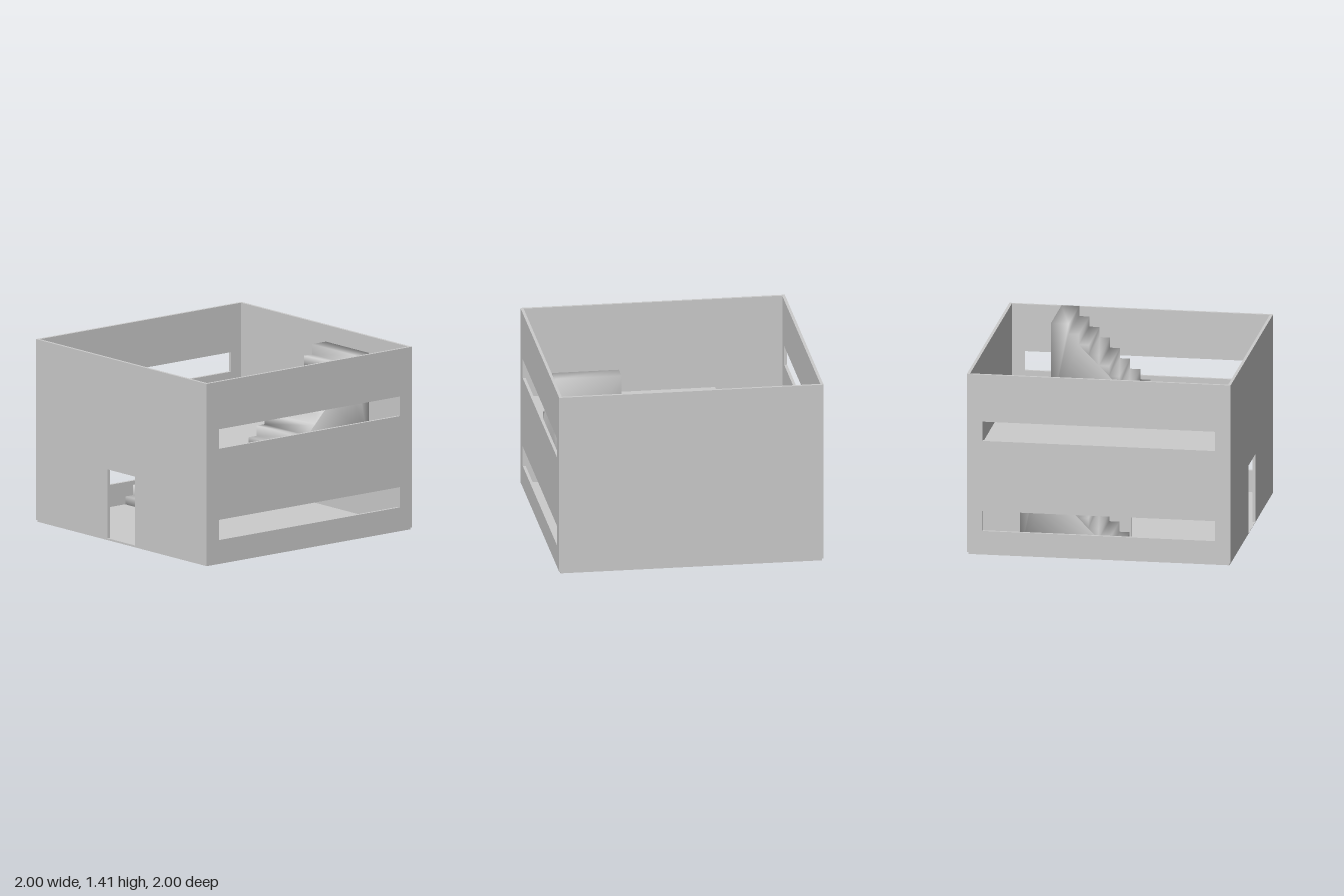
import * as THREE from 'three';
import { mergeVertices } from 'three/addons/utils/BufferGeometryUtils.js';

const BASE = 0.02, TOP = 1.405, MID = 0.705, WALL = 0.022;

// Rectangle outline, counter-clockwise
function rect(Type, x0, y0, x1, y1) {
  const path = new Type();
  path.moveTo(x0, y0);
  path.lineTo(x1, y0);
  path.lineTo(x1, y1);
  path.lineTo(x0, y1);
  path.closePath();
  return path;
}

// Flat panel with rectangular openings, thickness along +z
function panel(outline, openings, depth) {
  const shape = rect(THREE.Shape, ...outline);
  for (const o of openings) shape.holes.push(rect(THREE.Path, ...o));
  return new THREE.ExtrudeGeometry(shape, { depth, bevelEnabled: false });
}

// Solid flight of nine steps rising toward +x, softly shaded
function flight() {
  const rise = MID / 9, run = 0.077;
  const shape = new THREE.Shape();
  shape.moveTo(0.6, 0);
  shape.lineTo(0.6, MID);
  for (let i = 8; i >= 0; i--) {
    const x = -0.15 + i * run;
    shape.lineTo(x, (i + 1) * rise);
    shape.lineTo(x, i * rise);
  }
  shape.closePath();
  const geo = new THREE.ExtrudeGeometry(shape, { depth: 0.505, bevelEnabled: false });
  geo.deleteAttribute('normal');
  geo.deleteAttribute('uv');
  const smooth = mergeVertices(geo, 1e-4);
  smooth.computeVertexNormals();
  return smooth;
}

export function createModel() {
  const model = new THREE.Group();
  model.name = 'twoStoreyBuilding';
  const plaster = new THREE.MeshStandardMaterial({ color: 0xcccccc });
  plaster.name = 'light grey plaster';

  const add = (name, geo, x = 0, y = 0, z = 0) => {
    const mesh = new THREE.Mesh(geo, plaster);
    mesh.name = name;
    mesh.position.set(x, y, z);
    model.add(mesh);
    return mesh;
  };

  // Ground slab, slightly inset under the walls
  add('groundFloor', new THREE.BoxGeometry(1.98, BASE - 0.004, 1.98), 0, BASE / 2 + 0.002, 0);

  // Front and back walls with two long window slots each
  const slots = [[-0.88, 0.19, 0.88, 0.345], [-0.88, 0.89, 0.88, 1.04]];
  const slotted = panel([-1, BASE, 1, TOP], slots, WALL);
  add('frontWall', slotted, 0, 0, 1 - WALL);
  add('backWall', slotted, 0, 0, -1);

  // Side walls; the one at -x has the doorway
  const half = 1 - WALL;
  const solid = panel([-half, BASE, half, TOP], [], WALL);
  const doored = panel([-half, BASE, half, TOP], [[-0.16, BASE + 0.002, 0.16, 0.55]], WALL);
  add('leftWall', solid, 1 - WALL).rotation.y = Math.PI / 2;
  add('doorWall', doored, -1).rotation.y = Math.PI / 2;

  // Upper floor with a stairwell along the back
  const well = -0.47;
  const thick = 0.02;
  add('upperFloor', new THREE.BoxGeometry(2 * half, thick, half - well),
    0, MID - thick / 2, (half + well) / 2);
  add('stairLanding', new THREE.BoxGeometry(half - 0.6, thick, half + well),
    (half + 0.6) / 2, MID - thick / 2, (well - half) / 2);

  // Partition beside the lower flight
  add('stairPartition', new THREE.BoxGeometry(1.13, MID - thick, 0.025),
    0.405, (MID - thick) / 2, -0.455);

  // Two identical flights
  const stairs = flight();
  add('lowerStairs', stairs, 0, 0.002, -0.976);
  add('upperStairs', stairs, 0, MID, 0.47);

  return model;
}
